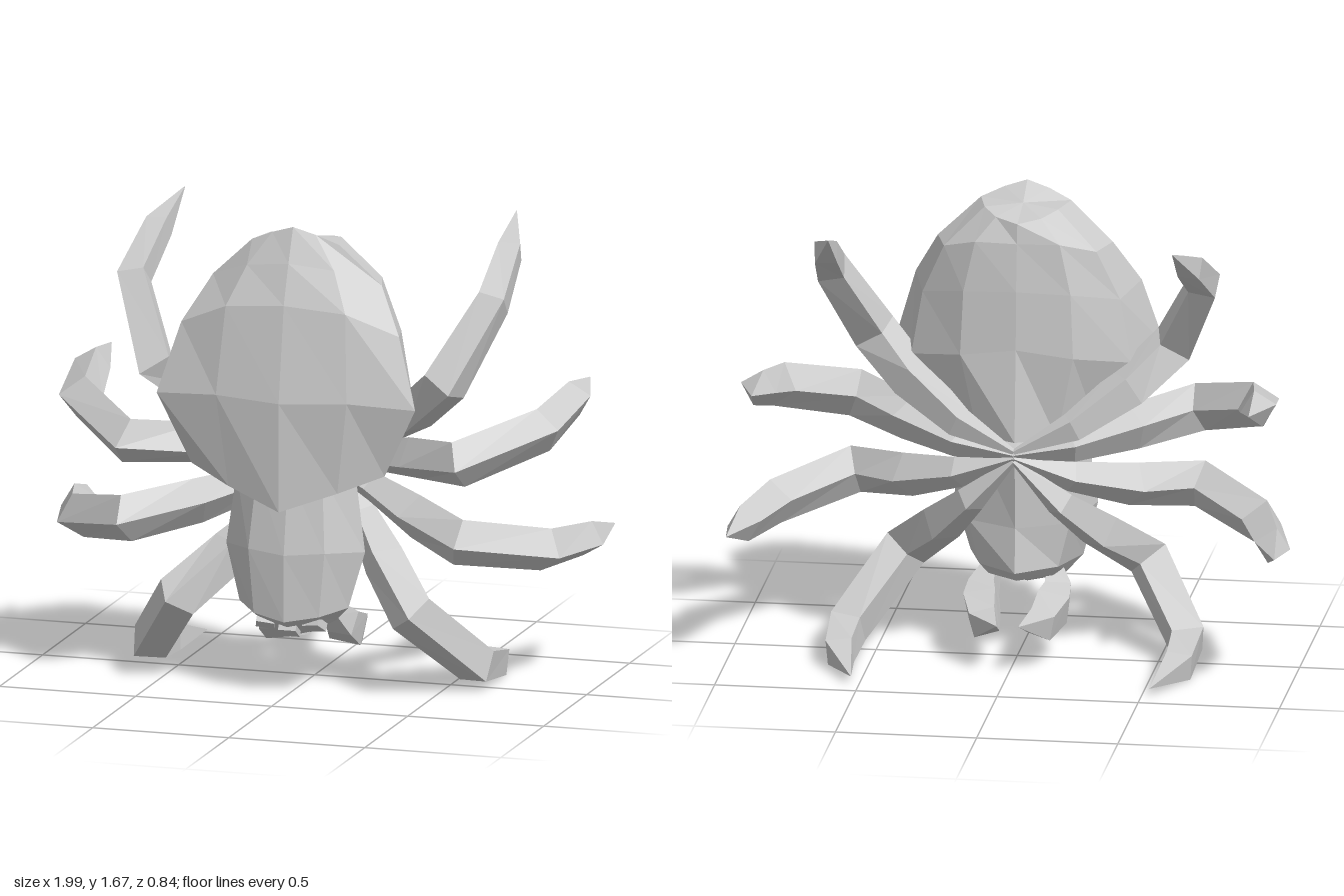
import * as THREE from 'three';

const V = (p) => new THREE.Vector3(...p);
const material = new THREE.MeshStandardMaterial({ color: 0xcccccc, flatShading: true });

// Closed skin through a list of equal-length rings, with fan caps, facing outwards
function loft(rings) {
  const tris = [];
  const n = rings[0].length;
  for (let i = 0; i < rings.length - 1; i++) {
    for (let j = 0; j < n; j++) {
      const k = (j + 1) % n;
      const a = rings[i][j], b = rings[i][k], c = rings[i + 1][k], d = rings[i + 1][j];
      tris.push([a, b, c], [a, c, d]);
    }
  }
  const cap = (ring, flip) => {
    const mid = ring.reduce((s, p) => s.add(p), new THREE.Vector3()).divideScalar(n);
    ring.forEach((p, j) => {
      const q = ring[(j + 1) % n];
      tris.push(flip ? [mid, q, p] : [mid, p, q]);
    });
  };
  cap(rings[0], true);
  cap(rings[rings.length - 1], false);
  // signed volume tells which way the skin is wound
  const volume = tris.reduce((s, [a, b, c]) => s + a.dot(b.clone().cross(c)), 0);
  const points = tris.flatMap(([a, b, c]) => (volume < 0 ? [a, c, b] : [a, b, c]));
  const geometry = new THREE.BufferGeometry().setFromPoints(points);
  geometry.computeVertexNormals();
  return geometry;
}

// Half section from front centre to back centre, completed by mirroring in x
const symmetric = (half) => [
  ...half.map(V),
  ...half.slice(1, -1).reverse().map(([x, y, z]) => V([-x, y, z])),
];

// Tapering four-sided limb; its ridges lie in and across the plane of its bend
function limb(path, radii, side) {
  const pts = path.map(([x, y, z]) => V([x * side, y, z]));
  const last = pts.length - 1;
  const knee = pts[Math.floor(last / 2)];
  const across = knee.clone().sub(pts[0]).cross(pts[last].clone().sub(pts[0])).normalize();
  return loft(pts.map((p, i) => {
    const t = pts[Math.min(i + 1, last)].clone().sub(pts[Math.max(i - 1, 0)]).normalize();
    const u = across.clone().addScaledVector(t, -across.dot(t)).normalize();
    const v = u.clone().cross(t);
    return [[u, 1], [v, 1], [u, -1], [v, -1]].map(([d, s]) => p.clone().addScaledVector(d, s * radii[i]));
  }));
}

export function createModel() {
  const group = new THREE.Group();
  const add = (name, geometry) => {
    const mesh = new THREE.Mesh(geometry, material);
    mesh.name = name;
    group.add(mesh);
    return mesh;
  };

  // Large faceted abdomen: domed crown, sharp rim around its back, pointed lower edge
  add('abdomen', loft([
    [[0, 1.69, 0.25], [0.08, 1.665, 0.24], [0.16, 1.63, 0.22], [0.13, 1.63, 0.1], [0.08, 1.615, 0.03], [0, 1.6, 0]],
    [[0, 1.57, 0.305], [0.16, 1.55, 0.28], [0.31, 1.49, 0.2], [0.27, 1.49, 0.07], [0.15, 1.53, 0], [0, 1.53, -0.01]],
    [[0, 1.43, 0.36], [0.22, 1.41, 0.34], [0.4, 1.33, 0.285], [0.35, 1.31, 0.1], [0.19, 1.35, -0.01], [0, 1.36, -0.03]],
    [[0, 1.09, 0.42], [0.24, 1.1, 0.39], [0.475, 1.08, 0.335], [0.39, 1.08, 0.1], [0.2, 1.12, -0.02], [0, 1.15, -0.04]],
    [[0, 0.7, 0.42], [0.2, 0.77, 0.37], [0.355, 0.83, 0.31], [0.27, 0.82, 0.12], [0.14, 0.82, 0], [0, 0.82, -0.07]],
  ].map(symmetric)));

  // Head and thorax
  add('head', loft([
    [[0, 0.82, 0.31], [0.12, 0.81, 0.29], [0.22, 0.78, 0.21], [0.15, 0.79, 0.02], [0, 0.8, -0.07]],
    [[0, 0.53, 0.36], [0.14, 0.54, 0.33], [0.255, 0.53, 0.22], [0.18, 0.5, 0.04], [0, 0.5, -0.05]],
    [[0, 0.29, 0.36], [0.12, 0.31, 0.33], [0.2, 0.33, 0.24], [0.14, 0.34, 0.04], [0, 0.34, -0.07]],
    [[0, 0.22, 0.25], [0.08, 0.24, 0.24], [0.14, 0.27, 0.19], [0.11, 0.3, 0.06], [0, 0.3, -0.02]],
  ].map(symmetric)));

  // Row of small eyes set flush into the slope under the brow
  for (const [x, y, z] of [[-0.09, 0.272, 0.285], [0, 0.25, 0.292], [0.09, 0.272, 0.285]]) {
    const eye = add('eye', new THREE.BoxGeometry(0.065, 0.06, 0.03));
    eye.position.set(x, y, z);
    eye.rotation.set(1.0, 0, x * 3);
  }

  // Legs, from the shared hub under the body to knee, shin and tip
  const legRadii = [0.012, 0.055, 0.08, 0.085, 0.08, 0.065, 0.002];
  const legs = {
    rearLeg: [[0, 0.79, -0.09], [0.2, 0.88, -0.05], [0.38, 1.0, 0.06], [0.53, 1.135, 0.17], [0.66, 1.41, 0.01], [0.645, 1.54, -0.23], [0.61, 1.64, -0.42]],
    upperMiddleLeg: [[0, 0.78, -0.09], [0.2, 0.81, -0.05], [0.4, 0.85, 0.09], [0.61, 0.88, 0.26], [0.85, 0.97, 0.03], [0.885, 1.03, -0.22], [0.88, 1.06, -0.42]],
    lowerMiddleLeg: [[0, 0.77, -0.09], [0.2, 0.7, -0.05], [0.4, 0.64, 0.09], [0.61, 0.6, 0.26], [0.86, 0.54, 0.03], [0.935, 0.53, -0.22], [0.97, 0.54, -0.42]],
    frontLeg: [[0, 0.76, -0.09], [0.16, 0.6, -0.05], [0.28, 0.47, 0.08], [0.43, 0.325, 0.24], [0.6, 0.1, 0.01], [0.6, 0.07, -0.2], [0.53, 0.05, -0.42]],
  };
  // Short curved fangs below the head
  const fang = [[0.11, 0.3, 0.14], [0.13, 0.24, 0.08], [0.125, 0.205, 0], [0.1, 0.175, -0.12], [0.04, 0.2, -0.245]];
  const fangRadii = [0.04, 0.065, 0.08, 0.065, 0.002];

  for (const [label, side] of [['left', 1], ['right', -1]]) {
    for (const [name, path] of Object.entries(legs)) {
      // the rear pair has slimmer shins
      const radii = name === 'rearLeg' ? legRadii.map((r, i) => (i > 3 ? r * 0.85 : r)) : legRadii;
      add(`${label} ${name}`, limb(path, radii, side));
    }
    add(`${label} fang`, limb(fang, fangRadii, side));
  }

  // Rest on the ground
  group.position.y = -new THREE.Box3().setFromObject(group).min.y;
  return group;
}
